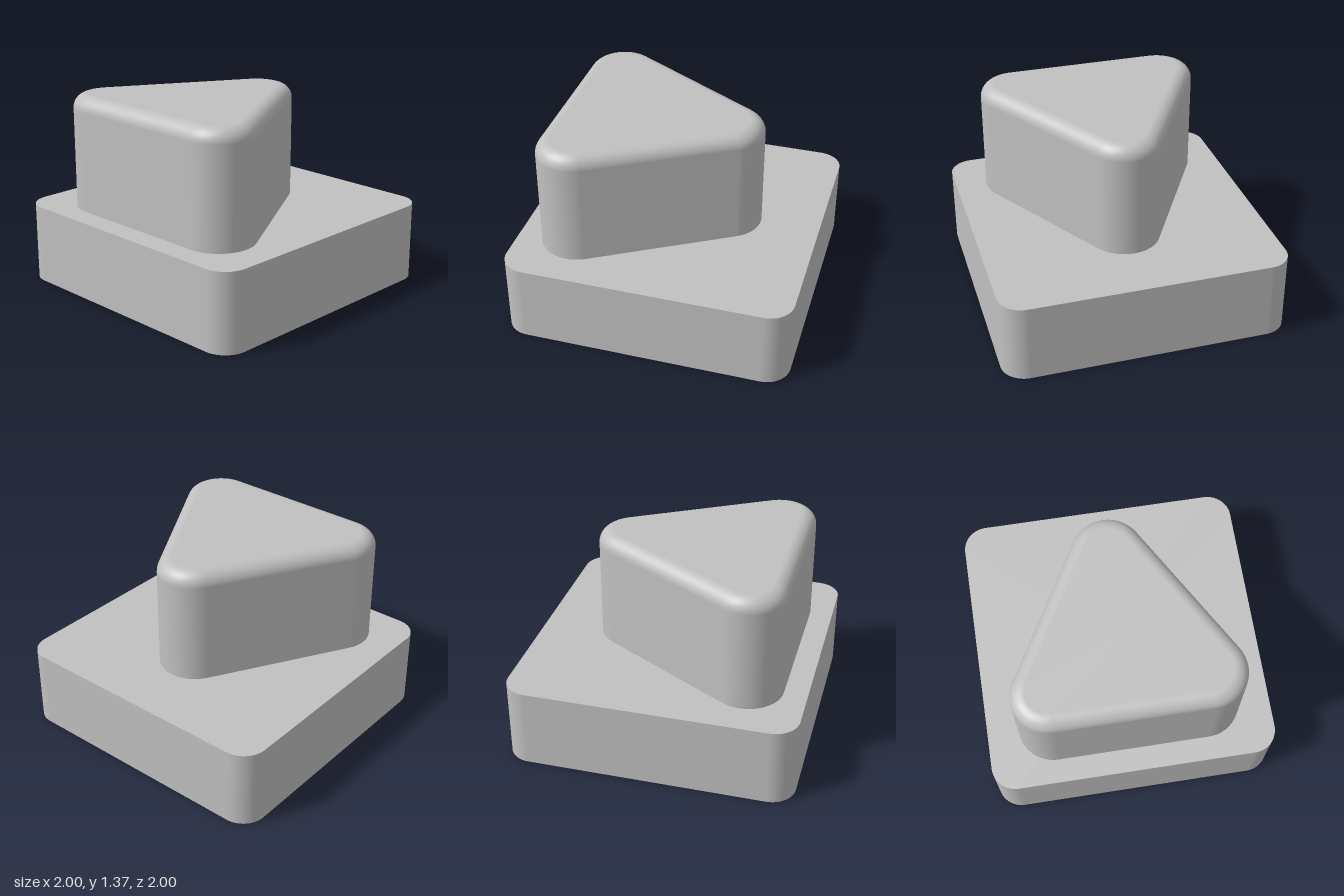
import * as THREE from 'three';

const DEG = Math.PI / 180;

// Rounded regular prism. Each profile ring is
// [distance of corner centres from the axis, corner radius, y, normal elevation in degrees].
function roundedPrism(sides, firstCorner, profile, segments = 16) {
  const positions = [], normals = [], index = [];
  const perRing = sides * (segments + 1);
  for (const [reach, radius, y, elevation] of profile) {
    const flat = Math.cos(elevation * DEG), up = Math.sin(elevation * DEG);
    for (let k = 0; k < sides; k++) {
      const corner = (firstCorner + k * 360 / sides) * DEG;
      for (let s = 0; s <= segments; s++) {
        const a = corner + (s / segments - 0.5) * 2 * Math.PI / sides;
        positions.push(
          reach * Math.cos(corner) + radius * Math.cos(a), y,
          reach * Math.sin(corner) + radius * Math.sin(a));
        normals.push(flat * Math.cos(a), up, flat * Math.sin(a));
      }
    }
  }
  for (let i = 0; i < profile.length - 1; i++) {
    for (let j = 0; j < perRing; j++) {
      const a = i * perRing + j, b = i * perRing + (j + 1) % perRing;
      index.push(a, a + perRing, b, b, a + perRing, b + perRing);
    }
  }
  const geometry = new THREE.BufferGeometry();
  geometry.setAttribute('position', new THREE.Float32BufferAttribute(positions, 3));
  geometry.setAttribute('normal', new THREE.Float32BufferAttribute(normals, 3));
  geometry.setIndex(index);
  return geometry;
}

export function createModel() {
  const group = new THREE.Group();
  const grey = new THREE.MeshStandardMaterial({ color: 0xc0c0c0 });
  grey.name = 'grey';

  // Square base with rounded vertical corners and sharp top and bottom edges
  const baseHeight = 0.555, baseRadius = 0.17;
  const baseReach = (1 - baseRadius) * Math.SQRT2;
  const base = new THREE.Mesh(roundedPrism(4, 45, [
    [0, 0, 0, -90],
    [baseReach, baseRadius, 0, -90],
    [baseReach, baseRadius, 0, 0],
    [baseReach, baseRadius, baseHeight, 0],
    [baseReach, baseRadius, baseHeight, 90],
    [0, 0, baseHeight, 90],
  ]), grey);
  base.name = 'base';

  // Triangular block with rounded corners and a filleted top edge
  const reach = 0.614, radius = 0.25, fillet = 0.1, top = 1.365;
  const profile = [[reach, radius, baseHeight, 0]];
  for (let e = 0; e <= 90; e += 9) {
    profile.push([
      reach,
      radius - fillet + fillet * Math.cos(e * DEG),
      top - fillet + fillet * Math.sin(e * DEG),
      e,
    ]);
  }
  profile.push([0, 0, top, 90]);
  const block = new THREE.Mesh(roundedPrism(3, 30, profile), grey);
  block.name = 'triangularBlock';
  block.position.z = 0.281;

  group.add(base, block);
  return group;
}
